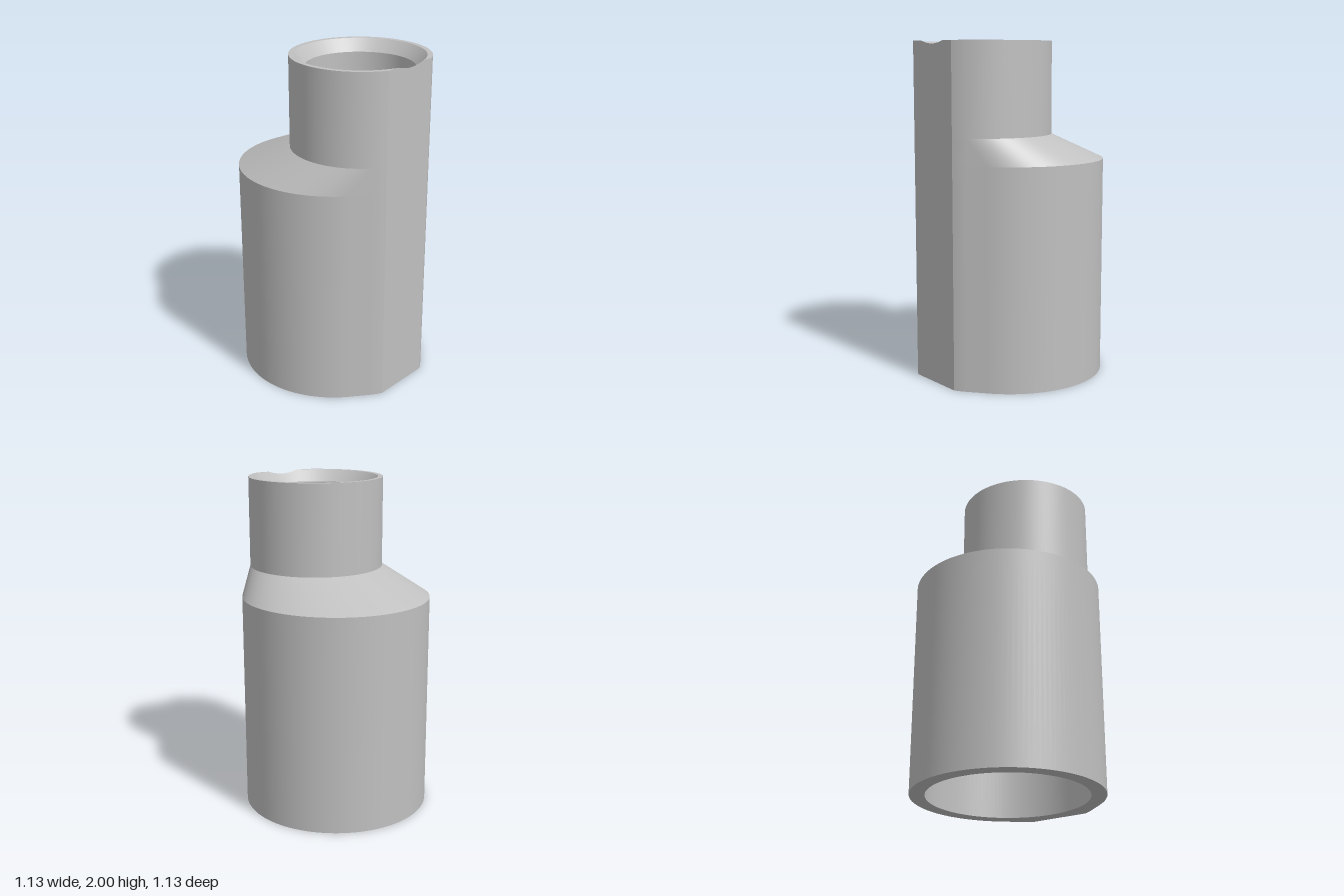
import * as THREE from 'three';
import { toCreasedNormals } from 'three/addons/utils/BufferGeometryUtils.js';

const R = 0.565, r = 0.405, c = 0.205;   // body radius, neck radius, neck offset to the front
const cut = R - c;                       // distance from the neck axis to the front flat
const sinT = (R - r) / c;                // direction of the common tangent of both circles
const chamfer = 0.375, bore = 0.315, drop = 0.07;

// Directions around the axis, with the exact corners of the section added
function directions() {
  const list = [];
  for (let i = 0; i < 120; i++) list.push({ a: i / 120 * Math.PI * 2 });
  for (const s of [cut / r, cut / chamfer]) {
    const a = Math.asin(s);
    list.push({ a }, { a: Math.PI - a });
  }
  const t = Math.asin(sinT);
  list.push({ a: t - 1e-6 }, { a: t + 1e-6 }, { a: Math.PI - t - 1e-6 }, { a: Math.PI - t + 1e-6 });
  return list.map(d => d.a).sort((p, q) => p - q);
}
const dirs = directions();

// Circle about the body axis or the neck axis, neck circles trimmed by the front flat
const circle = (rad, y, z = 0) => dirs.map(a => [rad * Math.cos(a), y, z + rad * Math.sin(a)]);
const trim = (rad, a) => Math.sin(a) > cut / rad ? cut / Math.sin(a) : rad;
const neckRing = (rad, y) => dirs.map(a => {
  const k = trim(rad, a);
  return [k * Math.cos(a), y, c + k * Math.sin(a)];
});

// Body section: large circle joined by tangents to the trimmed neck circle
const bodyRing = y => {
  const big = circle(R, y), small = neckRing(r, y);
  return dirs.map((a, i) => Math.sin(a) > sinT ? small[i] : big[i]);
};

// Rim rings dip where the chamfer runs out through the flat
const rimRing = rad => neckRing(rad, 2).map((p, i) => {
  const k = trim(chamfer, dirs[i]);
  return [p[0], 2 - (chamfer - k) / (chamfer - bore) * drop, p[2]];
});

// Skin a list of rings
function loft(rings) {
  const pos = [];
  const tri = (p, q, s) => {
    const [A, B, C] = [p, q, s].map(v => new THREE.Vector3(...v));
    if (B.sub(A).cross(C.sub(A)).length() > 1e-9) pos.push(...p, ...q, ...s);
  };
  for (let k = 0; k + 1 < rings.length; k++) {
    const lo = rings[k], hi = rings[k + 1];
    for (let i = 0; i < dirs.length; i++) {
      const j = (i + 1) % dirs.length;
      tri(lo[i], hi[i], lo[j]);
      tri(hi[i], hi[j], lo[j]);
    }
  }
  const g = new THREE.BufferGeometry();
  g.setAttribute('position', new THREE.Float32BufferAttribute(pos, 3));
  return toCreasedNormals(g, Math.PI / 7);
}

export function createModel() {
  const group = new THREE.Group();
  const grey = new THREE.MeshStandardMaterial({ color: 0xc0c0c0 });
  grey.name = 'grey';

  const add = (name, rings) => {
    const mesh = new THREE.Mesh(loft(rings), grey);
    mesh.name = name;
    group.add(mesh);
  };

  // Blind socket in the base and its bottom rim
  add('lowerSocket', [circle(0, 1.2), circle(0.475, 1.2), circle(0.475, 0), bodyRing(0)]);
  // Wide body, sloping shoulder and offset neck
  add('body', [bodyRing(0), bodyRing(1.305)]);
  add('shoulder', [bodyRing(1.305), neckRing(r, 1.46)]);
  add('neck', [neckRing(r, 1.46), rimRing(r)]);
  // Neck rim, chamfered mouth and blind bore
  add('upperSocket', [rimRing(r), rimRing(chamfer), circle(bore, 2 - drop, c),
    circle(bore, 1.35, c), circle(0, 1.35, c)]);
  return group;
}
